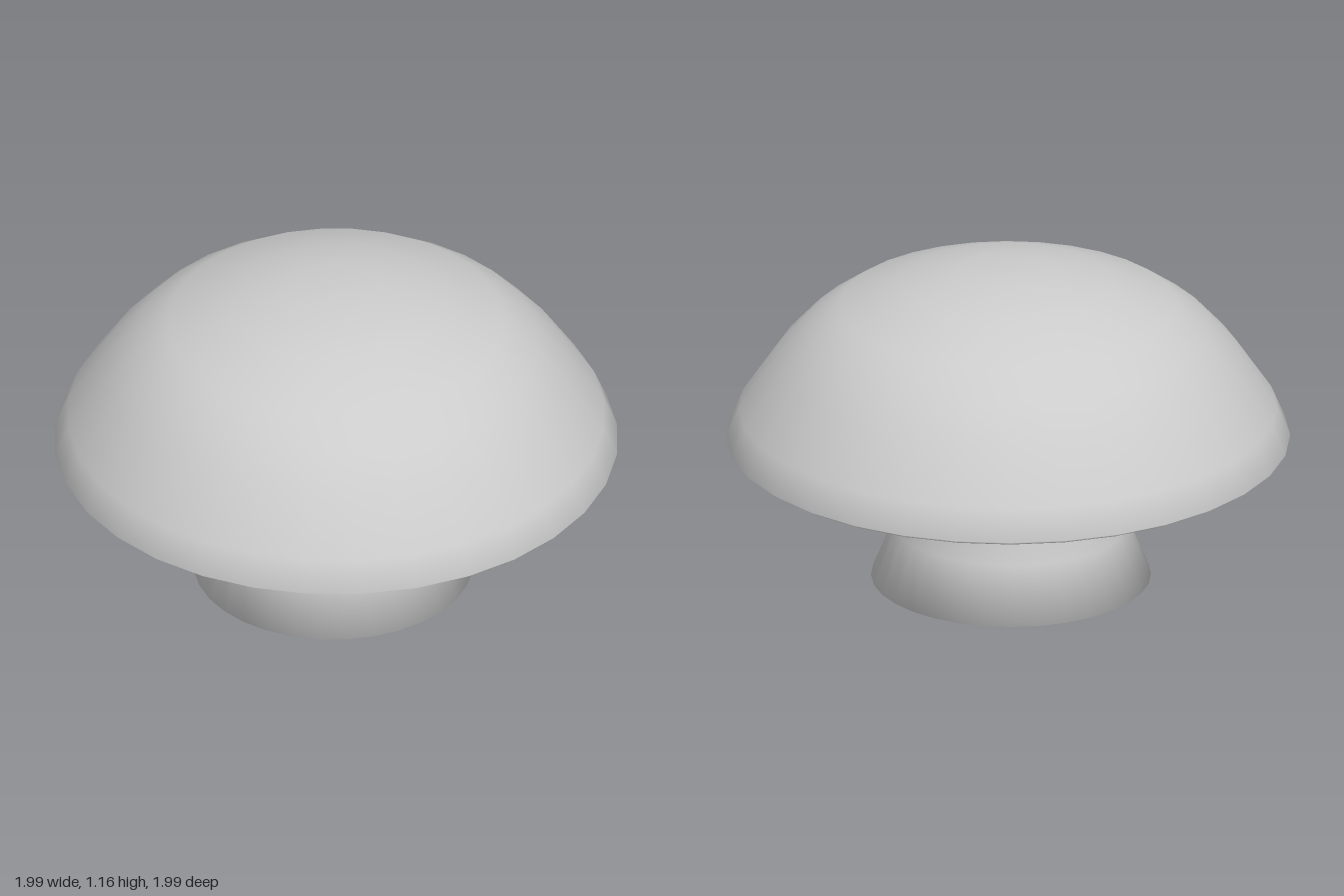
import * as THREE from 'three';

const SEGMENTS = 32;

// Smooth turned surface from [radius, height] pairs, listed bottom to top
function turned(name, profile, material) {
  const points = profile.map(([r, y]) => new THREE.Vector2(r, y));
  const mesh = new THREE.Mesh(new THREE.LatheGeometry(points, SEGMENTS), material);
  mesh.name = name;
  return mesh;
}

export function createModel() {
  const group = new THREE.Group();
  group.name = 'mushroom';
  const material = new THREE.MeshStandardMaterial({ color: 0xcccccc });

  // Stem: flat foot, flared base, rising into the hollow under the cap
  const stem = turned('stem', [
    [0, 0.005], [0.32, 0], [0.495, 0.01],
    [0.415, 0.21], [0.385, 0.42], [0.378, 0.53], [0.378, 0.66],
  ], material);
  stem.position.set(-0.01, 0, 0.005);
  group.add(stem);

  // Cap: shallow hollow underneath, thin rim, domed top with a flat crown
  group.add(turned('cap', [
    [0.36, 0.645], [0.45, 0.6], [0.6, 0.55], [0.8, 0.525], [0.965, 0.516],
    [0.997, 0.535], [0.95, 0.645], [0.825, 0.83], [0.715, 0.95],
    [0.595, 1.035], [0.375, 1.12], [0.175, 1.16], [0, 1.163],
  ], material));

  return group;
}
